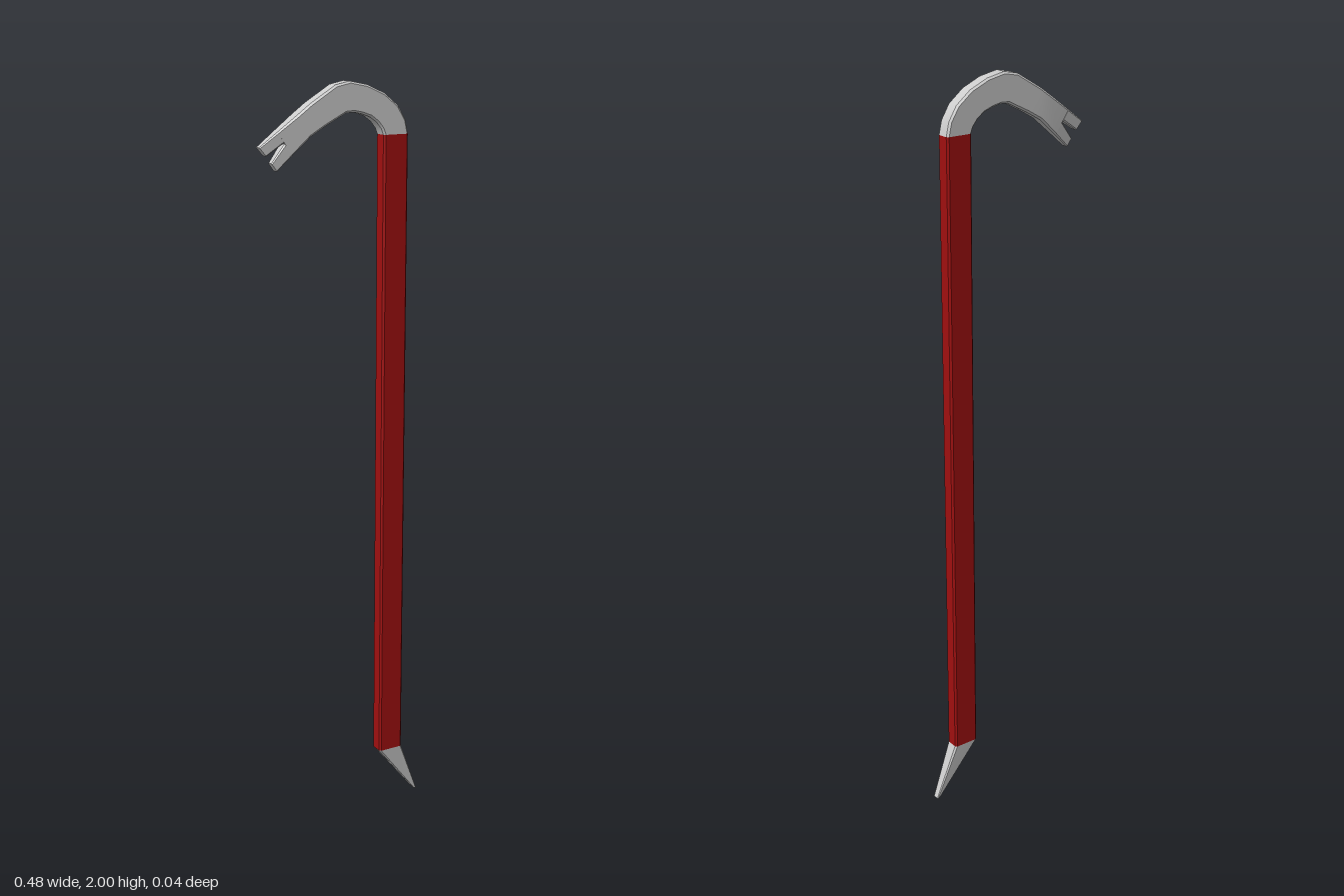
import * as THREE from 'three';
import { toCreasedNormals } from 'three/addons/utils/BufferGeometryUtils.js';

// Loft of chamfered rectangles. Each section is
// [outerX, outerY, innerX, innerY, halfDepth], ordered along the bar.
function loft(sections) {
  const pos = [], idx = [], n = 8;
  for (const [ox, oy, ix, iy, d] of sections) {
    const len = Math.hypot(ox - ix, oy - iy);
    const c = Math.min(0.005, len * 0.2, d * 0.25);
    const h = len / 2, mx = (ox + ix) / 2, my = (oy + iy) / 2;
    const ux = (ox - ix) / len, uy = (oy - iy) / len;
    const ring = [
      [h, -d + c], [h, d - c], [h - c, d], [-h + c, d],
      [-h, d - c], [-h, -d + c], [-h + c, -d], [h - c, -d],
    ];
    for (const [u, z] of ring) pos.push(mx + ux * u, my + uy * u, z);
  }
  const last = (sections.length - 1) * n;
  for (let base = 0; base < last; base += n) {
    for (let i = 0; i < n; i++) {
      const a = base + i, b = base + (i + 1) % n;
      idx.push(a, a + n, b, b, a + n, b + n);
    }
  }
  // End caps
  for (let i = 1; i < n - 1; i++) {
    idx.push(0, i, i + 1, last, last + i + 1, last + i);
  }
  const g = new THREE.BufferGeometry();
  g.setAttribute('position', new THREE.Float32BufferAttribute(pos, 3));
  g.setIndex(idx);
  return toCreasedNormals(g, 0.62);
}

export function createModel() {
  const group = new THREE.Group();
  const steel = new THREE.MeshStandardMaterial({ color: 0xcccccc });
  const red = new THREE.MeshStandardMaterial({ color: 0xa01010 });
  const add = (name, sections, material) => {
    const mesh = new THREE.Mesh(loft(sections), material);
    mesh.name = name;
    group.add(mesh);
  };
  const D = 0.02;

  // Painted straight bar
  add('shaft', [
    [0.18, 0.155, 0.108, 0.155, D],
    [0.18, 1.865, 0.108, 1.865, D],
  ], red);

  // Slanted chisel point at the foot
  add('chiselTip', [
    [0.238, 0, 0.228, 0.004, 0.01],
    [0.18, 0.155, 0.108, 0.155, D],
  ], steel);

  // Curved neck, thinning towards the claw
  add('hook', [
    [0.18, 1.865, 0.108, 1.865, D],
    [0.172, 1.9, 0.102, 1.88, D],
    [0.15, 1.936, 0.088, 1.897, D],
    [0.11, 1.968, 0.068, 1.911, D],
    [0.06, 1.99, 0.045, 1.919, D],
    [0.01, 2.0, 0.022, 1.924, D],
    [-0.03, 1.992, 0.0, 1.923, D],
    [-0.1, 1.95, -0.06, 1.893, D],
    [-0.135, 1.925, -0.1, 1.87, D],
    [-0.19, 1.885, -0.15, 1.826, 0.015],
  ], steel);

  // Two claw prongs with a notch between them
  add('upperProng', [
    [-0.19, 1.885, -0.172, 1.858, 0.015],
    [-0.238, 1.85, -0.219, 1.828, 0.01],
  ], steel);
  add('lowerProng', [
    [-0.17, 1.856, -0.15, 1.826, 0.015],
    [-0.205, 1.81, -0.19, 1.79, 0.01],
  ], steel);

  return group;
}
